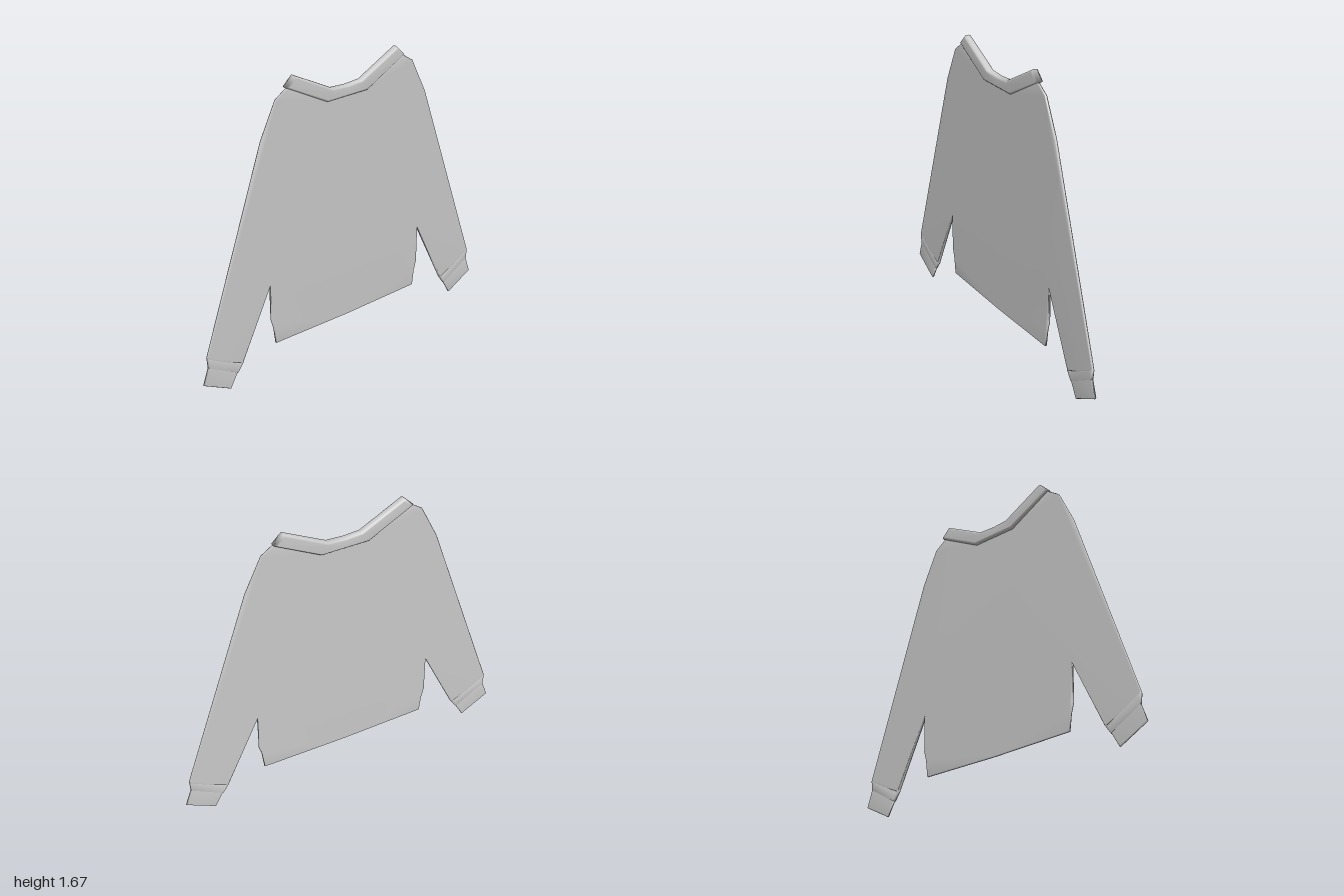
import * as THREE from 'three';
import { mergeVertices } from 'three/addons/utils/BufferGeometryUtils.js';

const material = new THREE.MeshStandardMaterial({ color: 0xcccccc });

// Soft flat panel lying in the z-y plane, spanning x0..x1, with rounded edges kept inside the outline
function panel(name, points, x0, x1, edge, steps = 1) {
  const bevel = (x1 - x0) * 0.35;
  const shape = new THREE.Shape(points.map(([z, y]) => new THREE.Vector2(z, y)));
  let geo = new THREE.ExtrudeGeometry(shape, {
    depth: x1 - x0 - 2 * bevel,
    bevelThickness: bevel,
    bevelSize: edge,
    bevelOffset: -edge,
    bevelSegments: steps,
  });
  geo.translate(0, 0, x0 + bevel);
  geo.rotateY(Math.PI / 2);
  // Shared vertices give the cloth its smooth shading
  geo.deleteAttribute('uv');
  geo.deleteAttribute('normal');
  geo = mergeVertices(geo, 1e-5);
  geo.computeVertexNormals();
  const mesh = new THREE.Mesh(geo, material);
  mesh.name = name;
  return mesh;
}

const flip = (points) => points.map(([z, y]) => [-z, y]);

// Closes a half outline, listed from the centre outwards and back to the centre
const mirrored = (half) => [...half, ...flip(half.filter(([z]) => z > 0)).reverse()];

export function createModel() {
  const group = new THREE.Group();
  group.name = 'sweater';

  // Torso and both sleeves in one piece
  const body = [
    [0, 1.49], [0.14, 1.49], [0.4, 1.62], [0.477, 1.57], [0.577, 1.37],
    [0.97, 0.25], [0.968, 0.225], [0.745, 0.13], [0.735, 0.14],
    [0.541, 0.535], [0.541, 0.315], [0.525, 0.26], [0.512, 0.162], [0, 0.155],
  ];
  group.add(panel('bodyAndSleeves', mirrored(body), -0.006, 0.012, 0.004));

  // Neckband, thicker than the cloth
  const collar = [
    [0, 1.54], [0.1, 1.546], [0.355, 1.675], [0.412, 1.62], [0.14, 1.478], [0, 1.478],
  ];
  group.add(panel('collar', mirrored(collar), -0.025, 0.02, 0.013, 3));

  // Folded sleeve ends and cuffs
  const fold = [[0.97, 0.25], [0.965, 0.185], [0.777, 0.08], [0.735, 0.14], [0.76, 0.135], [0.945, 0.235]];
  const cuff = [[0.962, 0.195], [1, 0.09], [0.826, 0], [0.777, 0.085]];
  for (const [side, place] of [['left', (p) => p], ['right', flip]]) {
    group.add(panel(side + 'SleeveFold', place(fold), -0.007, 0.013, 0.004));
    group.add(panel(side + 'Cuff', place(cuff), -0.005, 0.011, 0.004));
  }
  return group;
}
